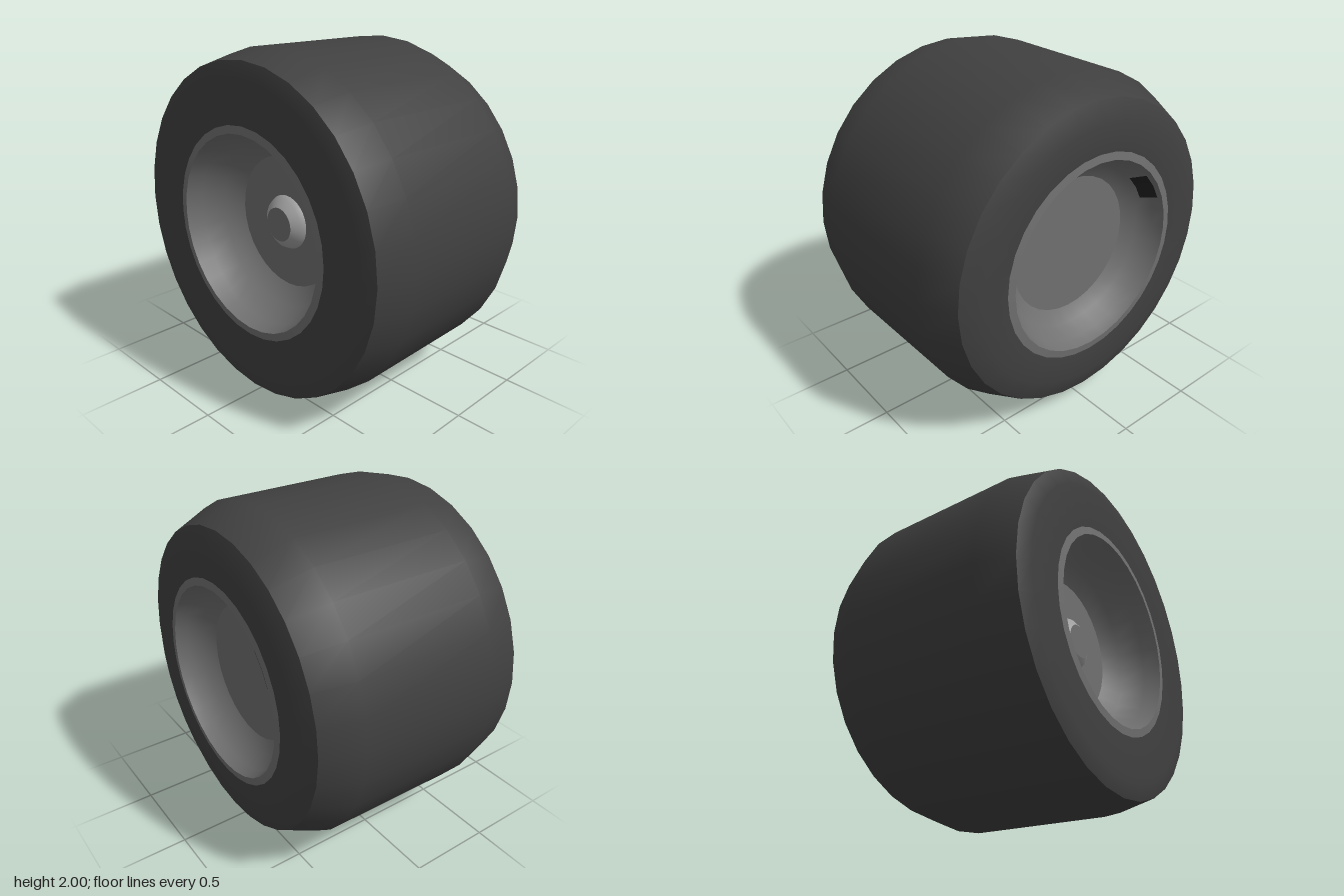
import * as THREE from 'three';

const SIDES = 32;
const paint = (color, side = THREE.FrontSide) => new THREE.MeshStandardMaterial({ color, side });

const rubber = paint(0x404040);
const metal = paint(0x707070);
const steel = paint(0xa0a0a0);
const black = paint(0x222222, THREE.DoubleSide);

// Spin a [radius, x] profile around the x axle; each call is one smooth surface.
function spin(name, profile, material, start = 0, sweep = Math.PI * 2, sides = SIDES) {
  const points = profile.map(([r, x]) => new THREE.Vector2(r, x));
  const geometry = new THREE.LatheGeometry(points, sides, start, sweep);
  geometry.rotateZ(-Math.PI / 2);
  const mesh = new THREE.Mesh(geometry, material);
  mesh.name = name;
  return mesh;
}

// Mirror a profile to the -x side, keeping its faces turned outward.
const mirrored = (profile) => profile.map(([r, x]) => [r, -x]).reverse();

export function createModel() {
  const wheel = new THREE.Group();
  wheel.name = 'wheel';

  // Tyre: tread with sloped shoulders, wider bevel on the outer (+x) side
  const tyre = new THREE.Group();
  tyre.name = 'tyre';
  tyre.add(
    spin('tread', [[0.95, -0.66], [1, -0.44], [0.99, 0.42], [0.89, 0.64]], rubber),
    spin('outerSidewall', [[0.89, 0.64], [0.77, 0.685], [0.61, 0.675]], rubber),
    spin('innerSidewall', mirrored([[0.95, 0.66], [0.86, 0.685], [0.61, 0.675]]), rubber)
  );
  wheel.add(tyre);

  // Rim: flat lip, curved dish and centre disc on both sides
  const lip = [[0.61, 0.675], [0.565, 0.68]];
  const outerDish = [[0.565, 0.68], [0.545, 0.61], [0.49, 0.53], [0.41, 0.48]];
  const innerDish = [[0.565, 0.68], [0.55, 0.58], [0.49, 0.45], [0.39, 0.375]];
  const rim = new THREE.Group();
  rim.name = 'rim';
  rim.add(
    spin('outerLip', lip, metal),
    spin('outerDish', outerDish, metal),
    spin('outerDisc', [[0.41, 0.48], [0, 0.48]], metal),
    spin('innerLip', mirrored(lip), metal),
    spin('innerDish', mirrored(innerDish), metal),
    spin('innerDisc', mirrored([[0.39, 0.375], [0, 0.375]]), metal)
  );
  wheel.add(rim);

  // Hub on the inner side
  const hub = new THREE.Group();
  hub.name = 'hub';
  hub.add(
    spin('hubCone', mirrored([[0.16, 0.375], [0.145, 0.405], [0.1, 0.44]]), steel),
    spin('hubCap', mirrored([[0.1, 0.44], [0, 0.44]]), metal)
  );
  wheel.add(hub);

  // Dark patch on the outer dish
  const deg = Math.PI / 180;
  wheel.add(spin('dishPatch', [[0.54, 0.67], [0.49, 0.58]], black, 203 * deg, 22 * deg, 2));

  wheel.position.y = 1;
  const model = new THREE.Group();
  model.name = 'wheelModel';
  model.add(wheel);
  return model;
}
